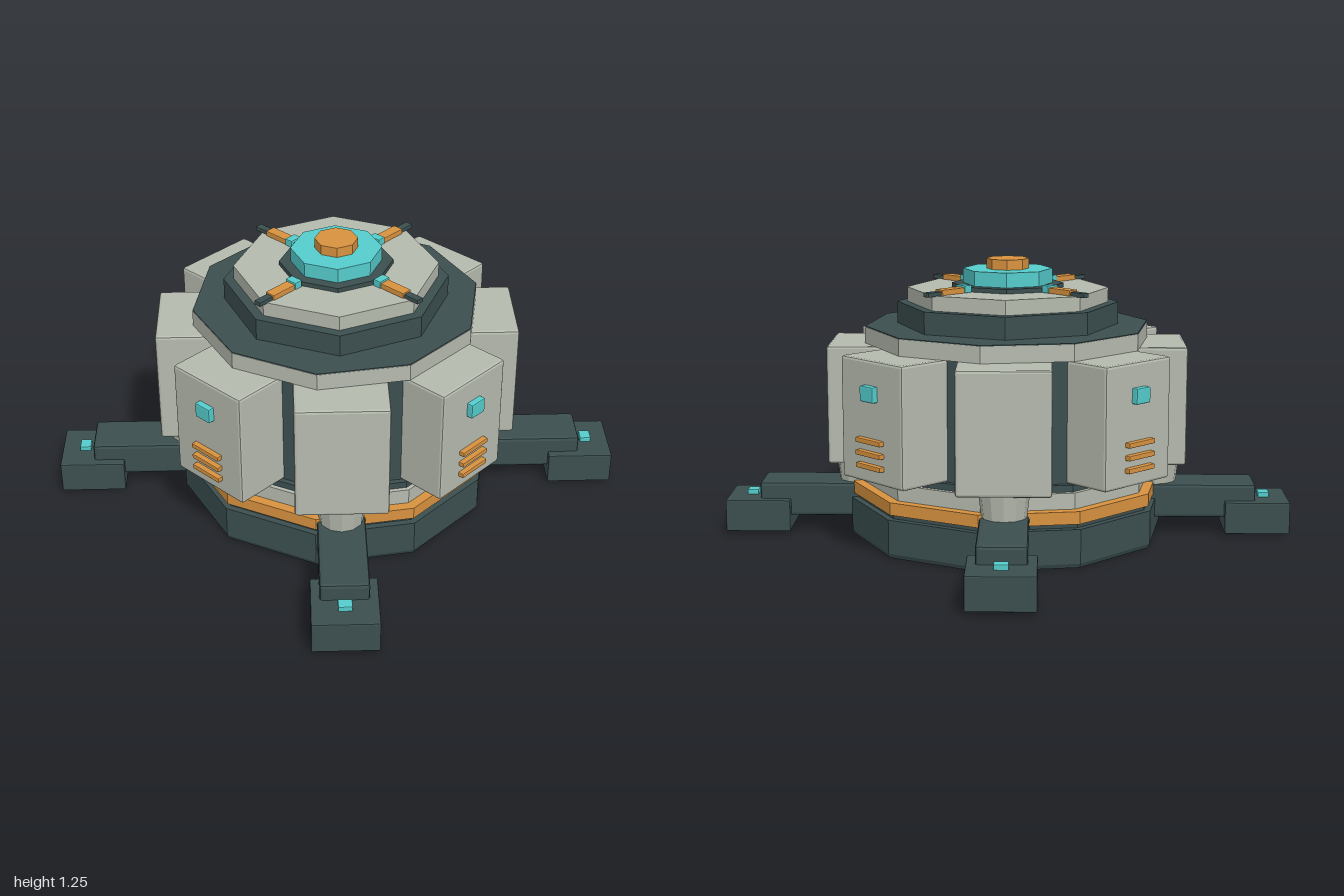
import * as THREE from 'three';
import { RoundedBoxGeometry } from 'three/addons/geometries/RoundedBoxGeometry.js';

const material = (color) => new THREE.MeshStandardMaterial({ color, flatShading: true });
const dark = material(0x3c4f50);
const light = material(0xb5baae);
const orange = material(0xd8923f);
const cyan = material(0x55cccc);

function add(parent, name, geometry, mat, x = 0, y = 0, z = 0) {
  const mesh = new THREE.Mesh(geometry, mat);
  mesh.name = name;
  mesh.position.set(x, y, z);
  parent.add(mesh);
  return mesh;
}

// Faceted disc between two heights
function tier(parent, name, radius, y0, y1, sides, mat, bottomRadius = radius) {
  const geometry = new THREE.CylinderGeometry(radius, bottomRadius, y1 - y0, sides);
  return add(parent, name, geometry, mat, 0, (y0 + y1) / 2, 0);
}

// Box with slightly softened edges, given by its ranges in y and z, centred on x
function block(parent, name, width, y0, y1, z0, z1, mat, bevel = 0.006) {
  const geometry = new RoundedBoxGeometry(width, y1 - y0, z1 - z0, 1, bevel);
  return add(parent, name, geometry, mat, 0, (y0 + y1) / 2, (z0 + z1) / 2);
}

// Group turned about the vertical axis, its +z pointing outwards
function spoke(parent, name, angle) {
  const group = new THREE.Group();
  group.name = name;
  group.rotation.y = angle;
  parent.add(group);
  return group;
}

export function createModel() {
  const model = new THREE.Group();
  model.name = 'station';

  // Ten-sided base and body
  tier(model, 'baseChamfer', 0.71, 0, 0.02, 10, dark, 0.7);
  tier(model, 'base', 0.71, 0.02, 0.17, 10, dark);
  tier(model, 'baseLip', 0.68, 0.17, 0.19, 10, dark);
  tier(model, 'orangeBand', 0.7, 0.19, 0.245, 10, orange);
  tier(model, 'lowerRing', 0.655, 0.245, 0.315, 10, light);
  tier(model, 'lowerCollar', 0.635, 0.315, 0.345, 10, dark);
  tier(model, 'body', 0.61, 0.345, 0.875, 10, dark);
  tier(model, 'upperRing', 0.64, 0.875, 0.948, 10, light);
  tier(model, 'upperRingCover', 0.638, 0.948, 0.952, 10, dark);

  // Eight-sided roof and beacon
  tier(model, 'roofStep', 0.495, 0.952, 1.05, 8, dark);
  tier(model, 'roofPlate', 0.45, 1.05, 1.115, 8, light);
  tier(model, 'beaconSeat', 0.25, 1.115, 1.135, 8, dark);
  tier(model, 'beacon', 0.2, 1.135, 1.2, 8, cyan);
  tier(model, 'beaconCap', 0.095, 1.2, 1.245, 8, orange);

  // Armour panels all round
  for (let i = 0; i < 8; i++) {
    const side = spoke(model, 'panelUnit', (i * Math.PI) / 4);
    block(side, 'panel', 0.4, 0.345, 0.875, 0.48, 0.795, light, 0.012);
  }

  for (let i = 0; i < 4; i++) {
    // Lamp and vents on each straight panel
    const fittings = spoke(model, 'panelFittings', (i * Math.PI) / 2);
    block(fittings, 'panelLamp', 0.085, 0.7, 0.768, 0.785, 0.823, cyan);
    for (const y of [0.42, 0.475, 0.53]) {
      block(fittings, 'vent', 0.16, y - 0.011, y + 0.011, 0.785, 0.82, orange, 0.004);
    }

    // Roof arm
    const arm = spoke(model, 'roofArm', (i * Math.PI) / 2);
    block(arm, 'armRail', 0.035, 1.112, 1.132, 0.23, 0.485, dark, 0.003);
    block(arm, 'armSleeve', 0.05, 1.113, 1.139, 0.28, 0.41, orange, 0.004);
    block(arm, 'armLamp', 0.06, 1.115, 1.148, 0.245, 0.285, cyan, 0.004);

    // Diagonal leg with joint, foot and lamp
    const leg = spoke(model, 'leg', Math.PI / 4 + (i * Math.PI) / 2);
    add(leg, 'legJoint', new THREE.CylinderGeometry(0.11, 0.09, 0.17, 12), light, 0, 0.265, 0.67);
    block(leg, 'legBeam', 0.21, 0.08, 0.235, 0.5, 1.12, dark, 0.015);
    block(leg, 'foot', 0.285, 0.015, 0.16, 0.98, 1.272, dark, 0.006);
    block(leg, 'footLamp', 0.06, 0.15, 0.182, 1.14, 1.19, cyan, 0.004);
  }

  return model;
}
